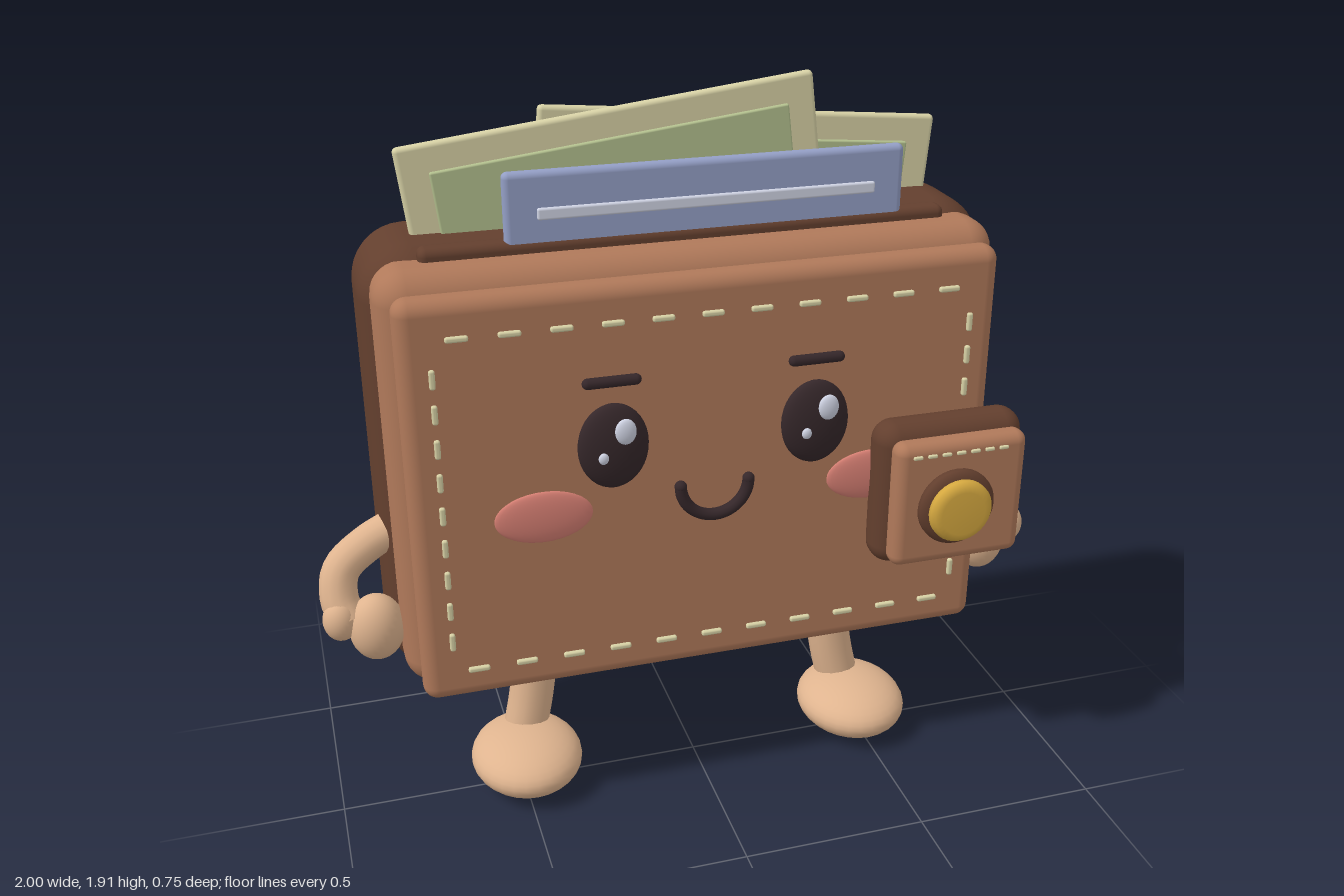
import * as THREE from 'three';
import { RoundedBoxGeometry } from 'three/addons/geometries/RoundedBoxGeometry.js';

const material = (name, color) => {
  const m = new THREE.MeshStandardMaterial({ color });
  m.name = name;
  return m;
};

export function createModel() {
  const darkLeather = material('dark leather', 0x633f2e);
  const leather = material('leather', 0xb0795a);
  const skin = material('skin', 0xdfb48f);
  const cream = material('cream paper', 0xd8d2a6);
  const green = material('bill green', 0xb3c08e);
  const blue = material('card blue', 0x949fc6);
  const black = material('soft black', 0x35272a);
  const pale = material('pale highlight', 0xd0d4e4);
  const pink = material('blush pink', 0xd88074);
  const gold = material('gold', 0xd6a940);

  const root = new THREE.Group();
  root.name = 'walletCharacter';

  const add = (name, geometry, mat, x = 0, y = 0, z = 0, parent = root) => {
    const mesh = new THREE.Mesh(geometry, mat);
    mesh.name = name;
    mesh.position.set(x, y, z);
    parent.add(mesh);
    return mesh;
  };
  const rounded = (w, h, d, r, seg = 4) => new RoundedBoxGeometry(w, h, d, seg, r);
  const ellipsoid = (rx, ry, rz) => new THREE.SphereGeometry(1, 28, 18).scale(rx, ry, rz);
  const tube = (points, r) => new THREE.TubeGeometry(
    new THREE.CatmullRomCurve3(points.map(p => new THREE.Vector3(...p))), 20, r, 14);

  // Wallet body: dark back, pocket lip, middle layer and front panel
  add('walletBack', rounded(1.65, 1.21, 0.4, 0.14, 5), darkLeather, 0, 0.965, -0.175);
  add('pocketLip', rounded(1.36, 0.12, 0.06, 0.02), darkLeather, 0, 1.51, -0.025);
  add('middleLayer', rounded(1.6, 1.14, 0.2, 0.08), leather, 0, 0.97, 0);
  add('frontPanel', rounded(1.535, 1.09, 0.085, 0.038), leather, 0, 0.955, 0.1275);

  // Stitching around the front panel
  const stitches = new THREE.Group();
  stitches.name = 'panelStitches';
  root.add(stitches);
  const across = rounded(0.056, 0.015, 0.014, 0.006, 2);
  const upright = rounded(0.015, 0.05, 0.014, 0.006, 2);
  for (let i = 0; i < 11; i++) {
    for (const y of [0.5, 1.405]) add('stitch', across, cream, -0.625 + i * 0.125, y, 0.176, stitches);
  }
  for (let i = 0; i < 9; i++) {
    for (const x of [-0.688, 0.688]) add('stitch', upright, cream, x, 0.59 + i * 0.09, 0.176, stitches);
  }

  // Face
  for (const side of [-1, 1]) {
    const x = side * 0.263;
    add('eye', ellipsoid(0.09, 0.113, 0.033), black, x, 1.096, 0.2);
    add('eyeHighlight', ellipsoid(0.027, 0.034, 0.012), pale, x + 0.025, 1.143, 0.23);
    add('eyeGlint', ellipsoid(0.013, 0.015, 0.008), pale, x - 0.032, 1.078, 0.232);
    const brow = add('eyebrow', new THREE.CapsuleGeometry(0.014, 0.12, 6, 12), black, x, 1.266, 0.2);
    brow.rotation.z = Math.PI / 2;
    add('cheek', ellipsoid(0.125, 0.07, 0.015), pink, side * 0.438, 0.91, 0.172);
  }
  const mouth = add('mouth', new THREE.TorusGeometry(0.09, 0.016, 10, 28, Math.PI), black, 0, 0.956, 0.195);
  mouth.rotation.z = Math.PI;
  for (const x of [-0.09, 0.09]) add('mouthEnd', ellipsoid(0.016, 0.016, 0.016), black, x, 0.956, 0.195);

  // Clasp tab with snap button
  const clasp = new THREE.Group();
  clasp.name = 'clasp';
  clasp.position.set(0.634, 0.867, 0);
  root.add(clasp);
  add('claspBack', rounded(0.41, 0.405, 0.12, 0.055), darkLeather, 0, 0, 0.2, clasp);
  add('claspFront', rounded(0.365, 0.35, 0.07, 0.03), leather, 0, 0, 0.28, clasp);
  const disc = (r, d) => new THREE.LatheGeometry([[0, 0], [r * 0.92, 0], [r, d * 0.3],
    [r, d * 0.6], [r * 0.9, d * 0.88], [r * 0.7, d], [0, d]].map(p => new THREE.Vector2(...p)), 32)
    .rotateX(Math.PI / 2);
  add('snapRing', disc(0.105, 0.043), darkLeather, -0.02, -0.003, 0.308, clasp);
  add('snapButton', disc(0.086, 0.04), gold, -0.02, -0.003, 0.336, clasp);
  for (let i = 0; i < 7; i++) {
    add('claspStitch', rounded(0.026, 0.01, 0.01, 0.004, 2), cream, -0.13 + i * 0.04, 0.143, 0.316, clasp);
  }

  // Bills: cream sheet, green print and round medallion
  const bill = (x, y, z, tilt) => {
    const g = new THREE.Group();
    g.name = 'bill';
    g.position.set(x, y, z);
    g.rotation.z = tilt;
    root.add(g);
    add('billSheet', rounded(1.07, 0.5, 0.03, 0.012, 2), cream, 0, 0, 0, g);
    add('billPrint', rounded(0.92, 0.36, 0.016, 0.005, 2), green, 0, 0, 0.018, g);
    const medal = add('billMedallion', new THREE.CylinderGeometry(0.115, 0.115, 0.014, 32), cream, 0, 0, 0.032, g);
    medal.rotation.x = Math.PI / 2;
  };
  bill(-0.147, 1.598, -0.143, 0.12);
  bill(0.172, 1.556, -0.205, -0.086);

  // Card with pale stripe
  add('card', rounded(1.03, 0.4, 0.035, 0.016), blue, 0.045, 1.538, -0.018);
  add('cardStripe', rounded(0.87, 0.03, 0.014, 0.006, 2), pale, 0.045, 1.635, 0.002);

  // Arms, hands, legs and feet
  for (const s of [-1, 1]) {
    const limb = new THREE.Group();
    limb.name = s > 0 ? 'leftLimbs' : 'rightLimbs';
    root.add(limb);
    add('arm', tube([[s * 0.76, 0.81, -0.1], [s * 0.86, 0.765, -0.09], [s * 0.935, 0.71, -0.065],
      [s * 0.948, 0.64, -0.035], [s * 0.93, 0.59, -0.01]], 0.05), skin, 0, 0, 0, limb);
    add('hand', ellipsoid(0.073, 0.093, 0.066), skin, s * 0.862, 0.567, 0.004, limb);
    add('thumb', ellipsoid(0.047, 0.058, 0.045), skin, s * 0.951, 0.597, -0.005, limb);
    add('leg', tube([[s * 0.43, 0.45, -0.09], [s * 0.437, 0.33, -0.09], [s * 0.452, 0.22, -0.087],
      [s * 0.478, 0.1, -0.08]], 0.062), skin, 0, 0, 0, limb);
    add('foot', ellipsoid(0.154, 0.08, 0.178), skin, s * 0.487, 0.08, -0.002, limb);
  }

  return root;
}
